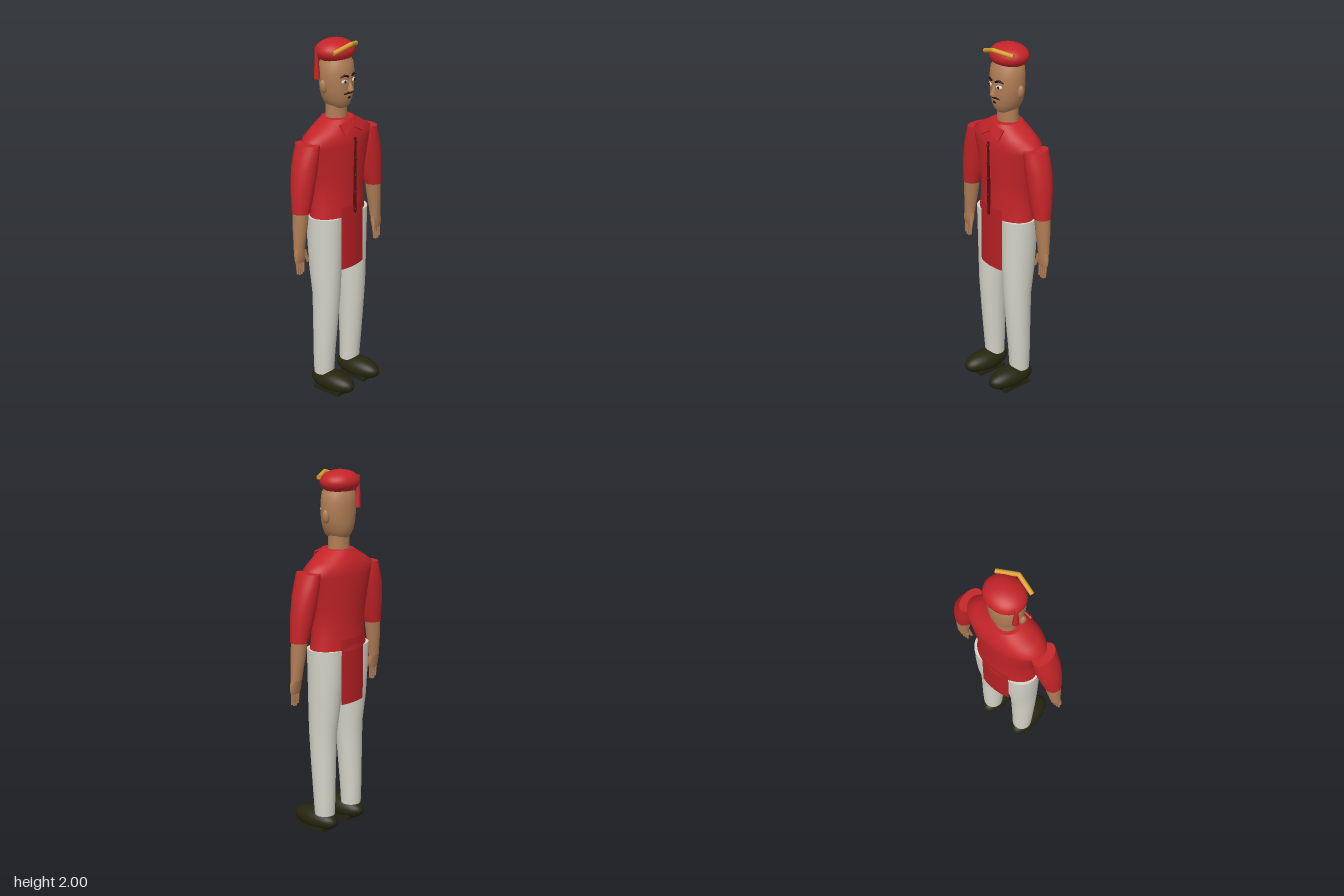
import * as THREE from 'three';

const mat = (name, color, double) => {
  const m = new THREE.MeshStandardMaterial({ color });
  m.name = name;
  if (double) m.side = THREE.DoubleSide;
  return m;
};

// Loft of elliptical rings [y, cx, cz, rx, rz], listed from bottom to top
function loft(rings, n = 32) {
  const pos = [], idx = [];
  const addRing = ([y, cx, cz, rx, rz]) => {
    for (let i = 0; i < n; i++) {
      const a = (i / n) * Math.PI * 2;
      pos.push(cx + Math.cos(a) * rx, y, cz + Math.sin(a) * rz);
    }
  };
  rings.forEach(addRing);
  for (let r = 0; r < rings.length - 1; r++) {
    for (let i = 0; i < n; i++) {
      const a = r * n + i, b = r * n + ((i + 1) % n);
      idx.push(a, a + n, b, b, a + n, b + n);
    }
  }
  // End caps with their own vertices keep the rims crisp
  [rings[0], rings[rings.length - 1]].forEach((ring, top) => {
    const s = pos.length / 3;
    addRing(ring);
    pos.push(ring[1], ring[0], ring[2]);
    for (let i = 0; i < n; i++) {
      const j = (i + 1) % n;
      idx.push(s + n, s + (top ? j : i), s + (top ? i : j));
    }
  });
  const g = new THREE.BufferGeometry();
  g.setAttribute('position', new THREE.Float32BufferAttribute(pos, 3));
  g.setIndex(idx);
  g.computeVertexNormals();
  return g;
}

const ellipsoid = (rx, ry, rz, w = 32, h = 20) => new THREE.SphereGeometry(1, w, h).scale(rx, ry, rz);

// Rod between two points
function rod(a, b, r0, r1 = r0, seg = 12) {
  const p = new THREE.Vector3(...a), q = new THREE.Vector3(...b), d = q.clone().sub(p);
  const g = new THREE.CylinderGeometry(r1, r0, d.length(), seg);
  g.applyQuaternion(new THREE.Quaternion().setFromUnitVectors(new THREE.Vector3(0, 1, 0), d.normalize()));
  return g.translate(...p.add(q).multiplyScalar(0.5).toArray());
}

// Thin plate from 2D points
const plate = (pts, depth) => new THREE.ExtrudeGeometry(
  new THREE.Shape(pts.map(p => new THREE.Vector2(...p))), { depth, bevelEnabled: false });

export function createModel() {
  const model = new THREE.Group();
  model.name = 'uniformedMan';
  const red = mat('red cloth', 0xc42428), redPanel = mat('red panel cloth', 0xb82024, true);
  const skin = mat('skin', 0xb07d55), white = mat('off white trousers', 0xd4d4c8);
  const shoe = mat('dark olive leather', 0x25250f), gold = mat('gold braid', 0xd89c28);
  const hair = mat('dark hair', 0x17110c), eye = mat('eye white', 0xe0dcd0);
  const seam = mat('dark red trim', 0x5c0e12);
  const add = (name, geo, m, x = 0, y = 0, z = 0) => {
    const mesh = new THREE.Mesh(geo, m);
    mesh.name = name;
    mesh.position.set(x, y, z);
    model.add(mesh);
    return mesh;
  };

  // Jacket body
  add('jacket', loft([
    [1.05, 0, -0.04, 0.188, 0.116], [1.12, 0, -0.04, 0.178, 0.114], [1.2, 0, -0.04, 0.172, 0.114],
    [1.28, 0, -0.041, 0.182, 0.119], [1.38, 0, -0.042, 0.205, 0.124], [1.46, 0, -0.042, 0.228, 0.126],
    [1.497, 0, -0.042, 0.24, 0.122], [1.53, 0, -0.04, 0.185, 0.112], [1.56, 0, -0.038, 0.132, 0.1],
    [1.587, 0, -0.036, 0.085, 0.084],
  ], 48), red);

  // Hanging front and back panels, curved around the hips
  for (const [name, mid] of [['frontPanel', 0], ['backPanel', Math.PI]]) {
    const g = new THREE.CylinderGeometry(1, 1, 0.36, 16, 1, true, mid - 0.48, 0.96);
    add(name, g.scale(0.195, 1, 0.117), redPanel, 0, 0.935, -0.038);
  }

  // Button placket and buttons
  add('placket', new THREE.BoxGeometry(0.01, 0.42, 0.014), seam, 0, 1.28, 0.084);
  for (let i = 0; i < 5; i++) add('button', ellipsoid(0.008, 0.008, 0.006, 10, 8), seam, 0, 1.09 + i * 0.095, 0.091);

  // Collar wings
  for (const s of [-1, 1]) {
    const pts = [[0.085 * s, 0.065], [0.07 * s, 0], [0.004 * s, 0.035], [0.012 * s, 0.07]];
    add('collarWing', plate(pts, 0.008), red, 0, 1.512, 0.08).rotation.set(-0.42, 0.12 * s, 0);
  }

  // Neck and head
  add('neck', loft([[1.56, 0, -0.045, 0.062, 0.056], [1.62, 0, -0.045, 0.06, 0.054], [1.68, 0, -0.045, 0.06, 0.054]]), skin);
  add('head', loft([
    [1.634, 0, -0.035, 0.025, 0.035], [1.642, 0, -0.037, 0.045, 0.056], [1.66, 0, -0.038, 0.062, 0.072],
    [1.69, 0, -0.04, 0.078, 0.083], [1.73, 0, -0.041, 0.091, 0.088], [1.78, 0, -0.041, 0.098, 0.09],
    [1.83, 0, -0.042, 0.098, 0.09], [1.88, 0, -0.043, 0.092, 0.086], [1.93, 0, -0.045, 0.06, 0.06],
  ]), skin);

  // Face
  add('nose', loft([[1.735, 0, 0.045, 0.017, 0.022], [1.747, 0, 0.046, 0.016, 0.027],
    [1.77, 0, 0.044, 0.009, 0.016], [1.8, 0, 0.04, 0.006, 0.01]], 14), skin);
  for (const s of [-1, 1]) {
    add('ear', ellipsoid(0.017, 0.037, 0.019, 16, 12), skin, s * 0.103, 1.763, -0.045).rotation.z = -0.15 * s;
    add('eye', ellipsoid(0.019, 0.01, 0.007, 16, 10), eye, s * 0.036, 1.789, 0.042).rotation.y = 0.35 * s;
    add('pupil', ellipsoid(0.007, 0.008, 0.004, 10, 8), hair, s * 0.036, 1.789, 0.048);
    add('eyebrow', rod([s * 0.014, 1.815, 0.051], [s * 0.04, 1.823, 0.044], 0.005, 0.006, 8), hair);
    add('eyebrowEnd', rod([s * 0.04, 1.823, 0.044], [s * 0.06, 1.812, 0.032], 0.006, 0.003, 8), hair);
    add('moustache', rod([0, 1.729, 0.05], [s * 0.036, 1.722, 0.039], 0.008, 0.003, 8), hair);
  }
  add('lips', ellipsoid(0.02, 0.005, 0.006, 14, 8), skin, 0, 1.712, 0.042);
  add('chinBeard', ellipsoid(0.012, 0.007, 0.006, 12, 8), hair, 0, 1.7, 0.042);

  // Cap, braid and tassel
  add('cap', ellipsoid(0.114, 0.063, 0.098), red, 0, 1.937, -0.052);
  const braid = [[-0.103, 1.947, 0.024], [0, 1.98, 0.052], [0.103, 1.962, 0.004]];
  add('capBraidRight', rod(braid[0], braid[1], 0.012), gold);
  add('capBraidLeft', rod(braid[1], braid[2], 0.012), gold);
  add('capBraidJoint', ellipsoid(0.012, 0.012, 0.012, 12, 8), gold, ...braid[1]);
  add('capTassel', loft([[1.795, -0.096, -0.092, 0.017, 0.018], [1.84, -0.098, -0.092, 0.015, 0.014],
    [1.9, -0.1, -0.092, 0.012, 0.011], [1.965, -0.1, -0.092, 0.01, 0.01]], 12), red);

  for (const s of [-1, 1]) {
    const side = s > 0 ? 'left' : 'right';
    const limb = rings => loft(rings.map(([y, x, ...r]) => [y, s * x, ...r]));
    // Sleeve and forearm
    add(side + 'Sleeve', limb([
      [1.13, 0.302, -0.033, 0.048, 0.048], [1.2, 0.291, -0.035, 0.058, 0.057], [1.28, 0.278, -0.038, 0.065, 0.066],
      [1.37, 0.262, -0.04, 0.066, 0.073], [1.43, 0.248, -0.04, 0.057, 0.075], [1.487, 0.236, -0.04, 0.046, 0.075],
    ]), red);
    add(side + 'Forearm', limb([
      [0.93, 0.322, -0.03, 0.035, 0.026], [0.98, 0.318, -0.031, 0.036, 0.031],
      [1.06, 0.31, -0.033, 0.041, 0.04], [1.14, 0.302, -0.034, 0.044, 0.044],
    ]), skin);
    // Hand
    add(side + 'Palm', limb([
      [0.855, 0.325, -0.024, 0.033, 0.011], [0.875, 0.325, -0.024, 0.039, 0.015],
      [0.905, 0.323, -0.026, 0.041, 0.019], [0.938, 0.322, -0.029, 0.033, 0.023],
    ]), skin);
    [0.795, 0.787, 0.787, 0.797].forEach((tip, i) => {
      const x = s * (0.302 + i * 0.0155);
      add(side + 'Finger', rod([x, 0.87, -0.024], [x, tip, -0.02], 0.0085, 0.006, 8), skin);
    });
    add(side + 'Thumb', rod([s * 0.295, 0.915, -0.02], [s * 0.281, 0.85, -0.008], 0.012, 0.007, 8), skin);

    // Trouser leg
    add(side + 'TrouserLeg', limb([
      [0.11, 0.112, -0.043, 0.056, 0.056], [0.25, 0.113, -0.039, 0.061, 0.063], [0.42, 0.111, -0.032, 0.067, 0.071],
      [0.6, 0.108, -0.027, 0.074, 0.08], [0.76, 0.105, -0.036, 0.083, 0.094],
      [0.92, 0.102, -0.04, 0.092, 0.101], [1.057, 0.1, -0.04, 0.098, 0.104],
    ]), white);

    // Shoe and sole
    add(side + 'Shoe', ellipsoid(0.07, 0.061, 0.147), shoe, s * 0.112, 0.069, 0.021);
    add(side + 'Sole', new THREE.BoxGeometry(0.122, 0.022, 0.18), shoe, s * 0.112, 0.029, 0.02);
    add(side + 'Heel', new THREE.BoxGeometry(0.06, 0.03, 0.06), shoe, s * 0.112, 0.015, -0.02);
  }
  return model;
}
